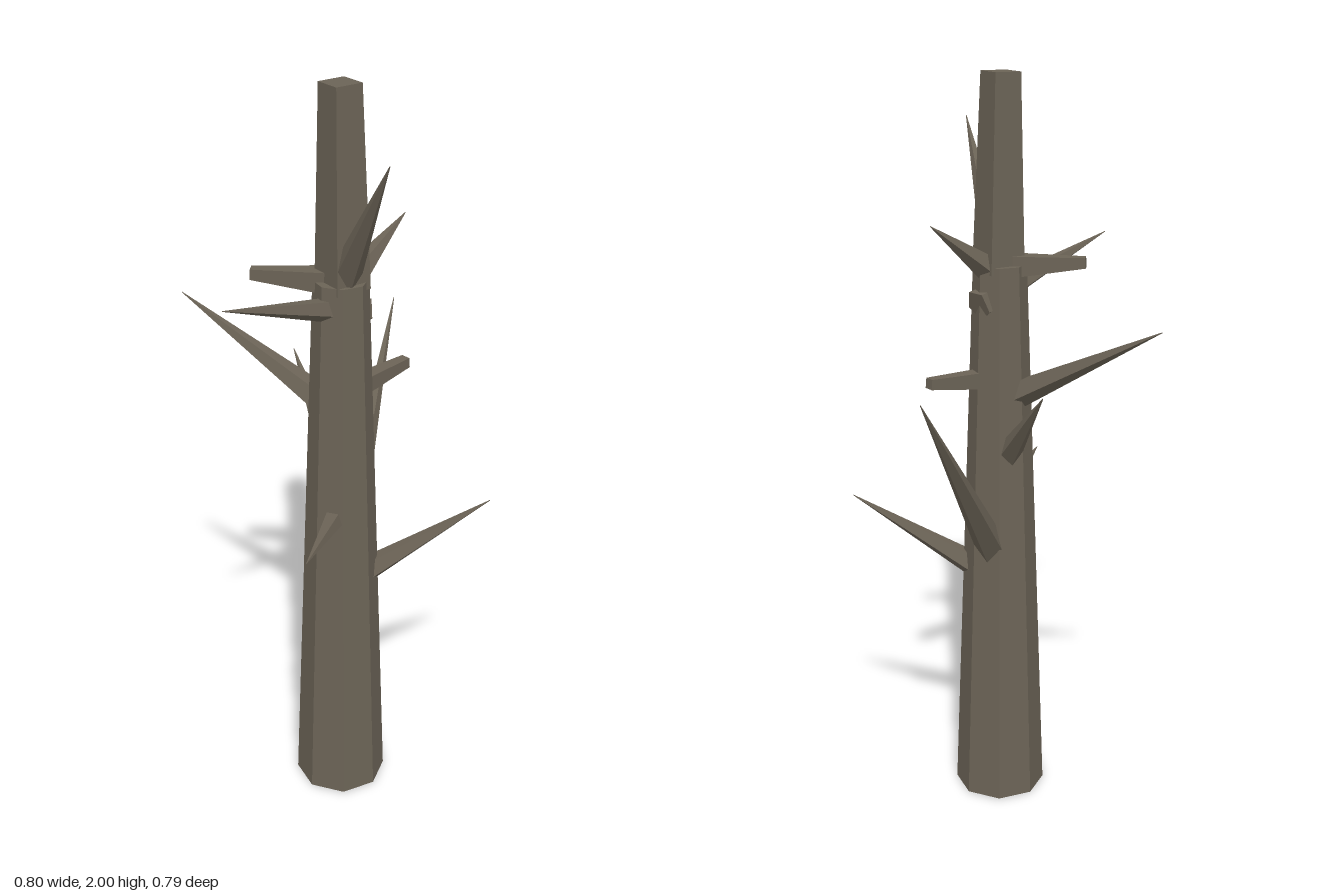
import * as THREE from 'three';

const AXIS_Z = 0.068; // the trunk stands slightly forward of centre

export function createModel() {
  const tree = new THREE.Group();
  tree.name = 'deadTree';
  const bark = new THREE.MeshStandardMaterial({ color: 0x6b6356, flatShading: true });
  bark.name = 'bark';

  function add(name, geometry) {
    const mesh = new THREE.Mesh(geometry, bark);
    mesh.name = name;
    tree.add(mesh);
    return mesh;
  }

  // Tapered faceted column between two points
  function limb(name, from, to, r0, r1, sides, turn = 0) {
    const a = new THREE.Vector3(...from), b = new THREE.Vector3(...to);
    const dir = b.clone().sub(a);
    const geo = new THREE.CylinderGeometry(r1, r0, dir.length(), sides, 1, false, turn);
    geo.translate(0, dir.length() / 2, 0);
    // Keep the side facets level: local x horizontal, y along the limb
    const y = dir.clone().normalize();
    const x = new THREE.Vector3(0, 1, 0).cross(y);
    if (x.lengthSq() < 1e-6) x.set(1, 0, 0);
    x.normalize();
    const z = x.clone().cross(y);
    geo.applyMatrix4(new THREE.Matrix4().makeBasis(x, y, z).setPosition(a));
    return add(name, geo);
  }

  // Eight-sided trunk and four-sided top
  limb('trunk', [0, 0, AXIS_Z], [0, 1.52, AXIS_Z], 0.125, 0.07, 8);
  limb('trunkTop', [0.004, 1.5, AXIS_Z], [-0.002, 2, 0.07], 0.07, 0.052, 4, -0.56);

  // Pointed branches: height on the trunk axis, tip, root radius
  const spikes = [
    [0.63, [0.40, 0.88, 0.065], 0.043],
    [0.675, [0.18, 1.28, -0.395], 0.05],
    [1.15, [-0.40, 1.40, -0.175], 0.045],
    [0.96, [-0.11, 1.23, -0.175], 0.045],
    [0.875, [-0.105, 0.91, 0.39], 0.036],
    [1.5, [0.092, 1.87, 0.297], 0.045],
    [1.485, [0.17, 1.64, -0.07], 0.045],
  ];
  for (const [y, tip, r] of spikes) limb('branch', [0, y, AXIS_Z], tip, r, 0.001, 5);

  // Long branch whose root passes through the trunk
  limb('throughBranch', [0.055, 1.42, 0.02], [-0.285, 1.555, 0.335], 0.042, 0.001, 5);

  // Broken stubs
  limb('stub', [0.02, 1.215, 0.06], [0.18, 1.235, -0.065], 0.035, 0.019, 4, Math.PI / 4);
  limb('stub', [-0.01, 1.515, 0.064], [-0.22, 1.53, 0.035], 0.042, 0.019, 4, Math.PI / 4);

  return tree;
}
